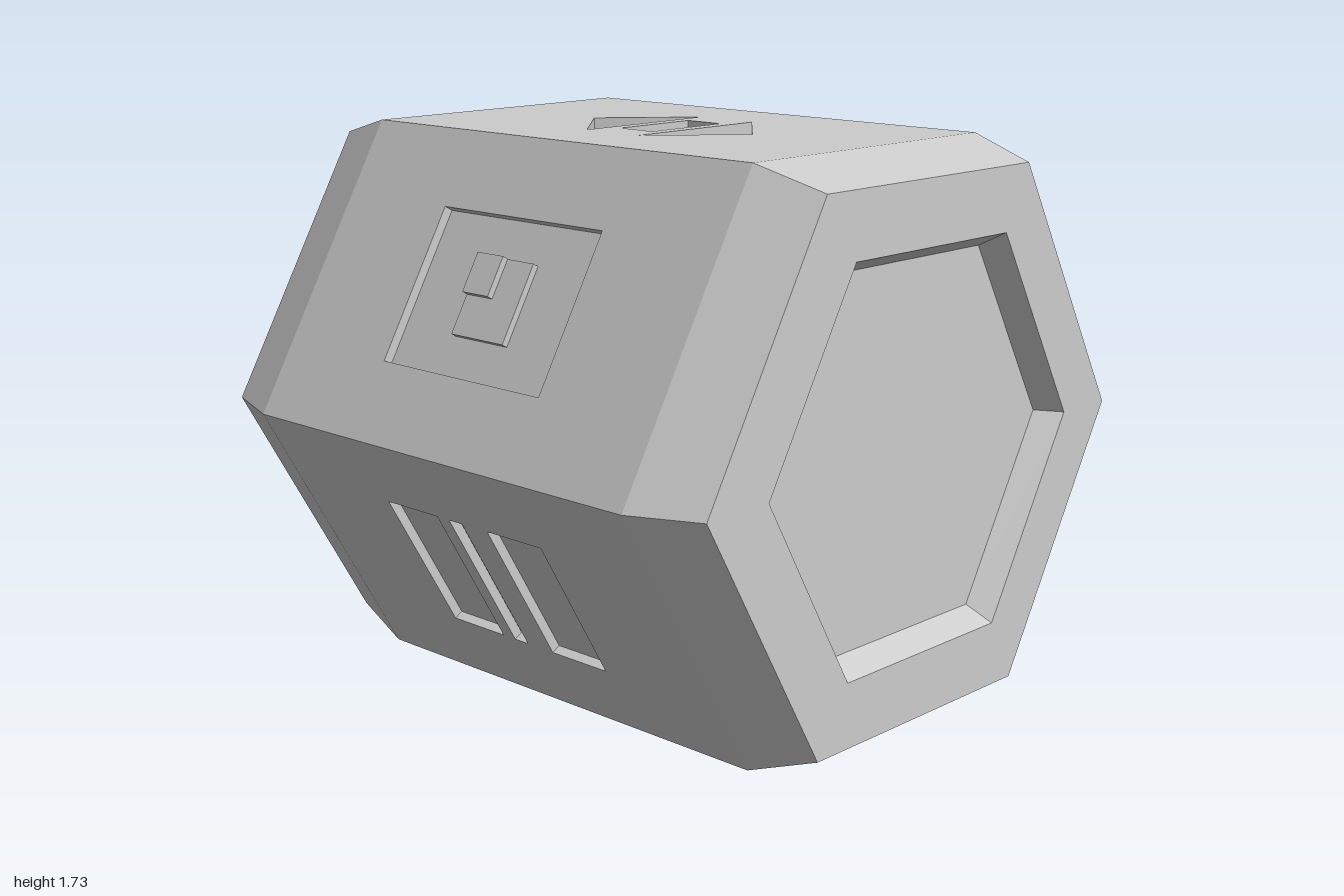
import * as THREE from 'three';

const grey = new THREE.MeshStandardMaterial({ color: 0xcccccc, flatShading: true });
const APOTHEM = Math.sqrt(3) / 2, HALF = 0.78;

const rect = (x0, y0, x1, y1) => [[x0, y0], [x1, y0], [x1, y1], [x0, y1]];
const toShape = (pts) => new THREE.Shape(pts.map(([x, y]) => new THREE.Vector2(x, y)));
// scale points, keeping them counter-clockwise when mirrored
const mirror = (pts, sx, sy) => {
  const out = pts.map(([x, y]) => [x * sx, y * sy]);
  return sx * sy < 0 ? out.reverse() : out;
};

function add(group, name, geometry) {
  const mesh = new THREE.Mesh(geometry, grey);
  mesh.name = name;
  group.add(mesh);
  return mesh;
}

// One flat side with carved recesses; islands are [x0, y0, x1, y1, top]
function createSide({ name, depth, holes, islands = [] }) {
  const side = new THREE.Group();
  side.name = name;
  const panel = toShape(rect(-HALF, -0.5, HALF, 0.5));
  panel.holes = holes.map(toShape);
  add(side, 'panel', new THREE.ExtrudeGeometry(panel, { depth, bevelEnabled: false }).translate(0, 0, -depth));
  for (const h of holes) add(side, 'recessFloor', new THREE.ShapeGeometry(toShape(h)).translate(0, 0, -depth));
  for (const [x0, y0, x1, y1, top] of islands) {
    const h = top + depth;
    add(side, 'island', new THREE.BoxGeometry(x1 - x0, y1 - y0, h))
      .position.set((x0 + x1) / 2, (y0 + y1) / 2, top - h / 2);
  }
  return side;
}

// Hexagonal end: chamfer, rim, sloped recess wall and floor; rings are [x, radius, y, z]
function createEnd(name, rings) {
  const positions = [];
  const corner = ([x, r, y, z], k) => {
    const a = k * Math.PI / 3;
    return [x, y + r * Math.sin(a), z + r * Math.cos(a)];
  };
  const flip = rings[0][0] < 0;
  const tri = (a, b, c) => positions.push(...a, ...(flip ? c : b), ...(flip ? b : c));
  for (let i = 0; i < rings.length - 1; i++) {
    for (let k = 0; k < 6; k++) {
      const a = corner(rings[i], k), b = corner(rings[i], k + 1);
      const c = corner(rings[i + 1], k + 1), d = corner(rings[i + 1], k);
      tri(a, c, b);
      if (rings[i + 1][1] > 0) tri(a, d, c);
    }
  }
  const geometry = new THREE.BufferGeometry();
  geometry.setAttribute('position', new THREE.Float32BufferAttribute(positions, 3));
  geometry.computeVertexNormals();
  const mesh = new THREE.Mesh(geometry, grey);
  mesh.name = name;
  return mesh;
}

export function createModel() {
  const model = new THREE.Group();
  model.name = 'hexagonalBarrelDie';
  const body = new THREE.Group();
  body.name = 'body';
  body.position.y = APOTHEM;
  model.add(body);

  const arrow = [[-0.335, 0], [-0.11, -0.25], [-0.11, 0.25]];
  const cornerTriangle = [[0.1, 0.19], [0.26, 0.19], [0.1, 0.36]];

  // stepped diamond, one quarter at a time
  const s = 0.056;
  const stairs = [[3 * s, s], [2 * s, s], [2 * s, 3 * s], [s, 3 * s], [s, 5 * s]];
  const diamond = [];
  for (const [sx, sy] of [[1, 1], [-1, 1], [-1, -1], [1, -1]]) diamond.push(...mirror(stairs, sx, sy));

  // two rails joined by crossbars around a raised block
  const ladder = [
    [-0.11, -0.3], [-0.045, -0.3], [-0.045, -0.13], [0.045, -0.13], [0.045, -0.3], [0.11, -0.3],
    [0.11, 0.3], [0.045, 0.3], [0.045, 0.13], [-0.045, 0.13], [-0.045, 0.3], [-0.11, 0.3],
  ];

  // sides in order around the barrel, starting at the upper front
  const sides = [
    {
      name: 'upperFrontSide', depth: 0.03, holes: [rect(-0.335, -0.25, 0.335, 0.25)],
      islands: [[-0.11, -0.125, 0.11, 0.125, -0.01], [-0.11, 0, 0, 0.126, 0.01]],
    },
    {
      name: 'topSide', depth: 0.05,
      holes: [arrow, mirror(arrow, -1, 1), rect(-0.067, -0.15, 0.067, 0.15)],
    },
    { name: 'upperBackSide', depth: 0.05, holes: [diamond], islands: [[-s, -s, s, s, 0]] },
    { name: 'lowerBackSide', depth: 0.04, holes: [ladder], islands: [[-0.05, -0.055, 0.05, 0.055, 0.008]] },
    {
      name: 'bottomSide', depth: 0.05,
      holes: [
        rect(-0.1, -0.1, 0.1, 0.1), cornerTriangle, mirror(cornerTriangle, -1, 1),
        mirror(cornerTriangle, -1, -1), mirror(cornerTriangle, 1, -1),
      ],
      islands: [[-0.055, -0.055, 0.055, 0.055, 0]],
    },
    {
      name: 'lowerFrontSide', depth: 0.03,
      holes: [rect(-0.335, -0.25, -0.11, 0.25), rect(-0.057, -0.25, 0, 0.25), rect(0.11, -0.25, 0.335, 0.25)],
    },
  ];
  sides.forEach((spec, k) => {
    const angle = Math.PI / 6 + k * Math.PI / 3;
    const side = createSide(spec);
    side.rotation.x = -angle;
    side.position.set(0, APOTHEM * Math.sin(angle), APOTHEM * Math.cos(angle));
    body.add(side);
  });

  // recessed ends
  body.add(createEnd('leftEnd', [
    [HALF, 1, 0, 0], [1, 0.918, 0.004, -0.005], [1, 0.69, 0.006, -0.018],
    [0.92, 0.638, 0.008, -0.02], [0.92, 0, 0.008, -0.02],
  ]));
  body.add(createEnd('rightEnd', [
    [-HALF, 1, 0, 0], [-1, 0.93, 0.004, -0.006], [-1, 0.7, 0.004, 0],
    [-0.92, 0.65, 0.004, 0], [-0.92, 0, 0.004, 0],
  ]));
  return model;
}
